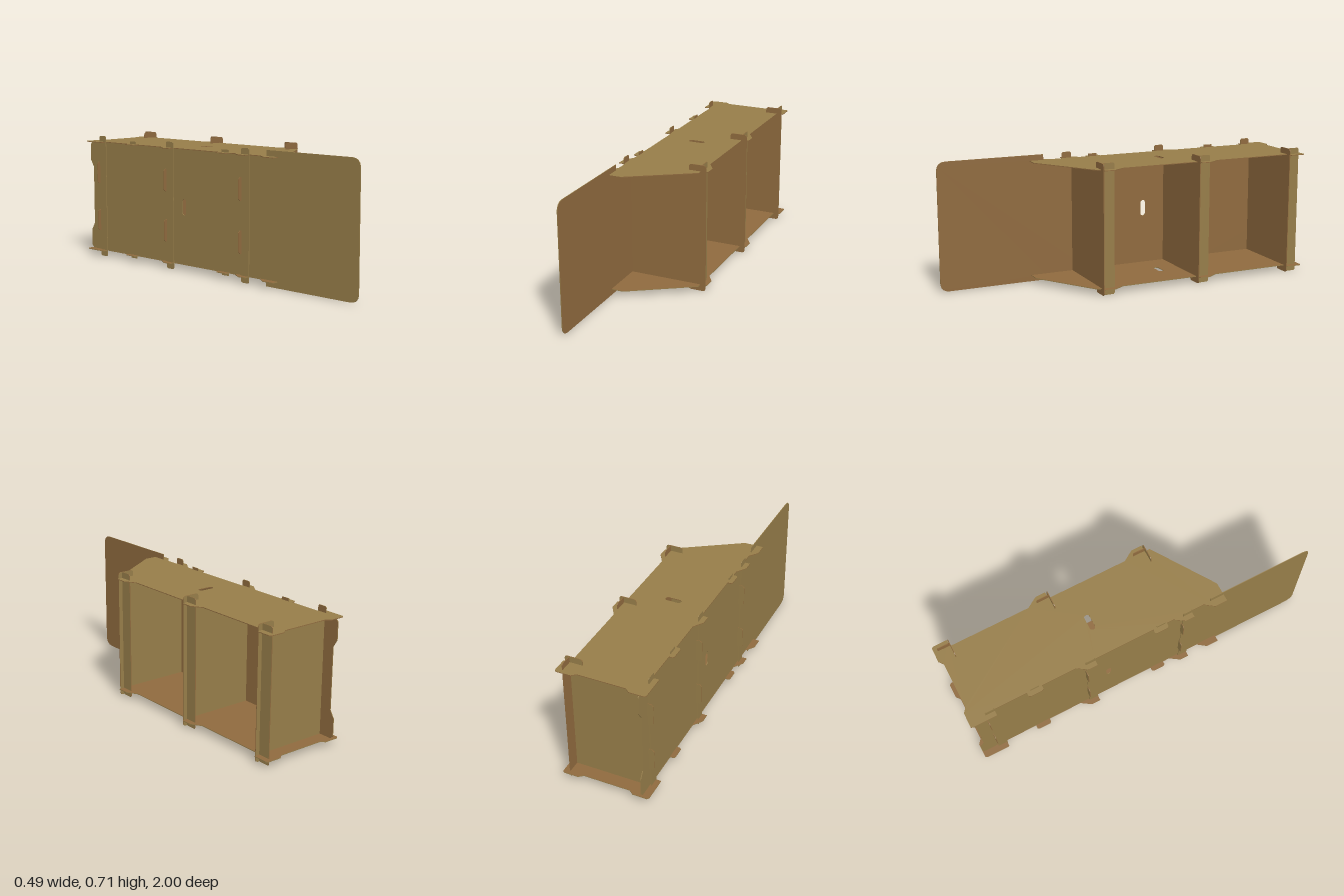
import * as THREE from 'three';

const T = 0.004;      // sheet thickness
const MID = 0.357;    // mid height of the whole box
const STATIONS = [0.233, -0.337, -0.907]; // z of the cross panels

const brown = new THREE.MeshStandardMaterial({ color: 0x8f6a3e });
const olive = new THREE.MeshStandardMaterial({ color: 0x967d49 });

const toShape = (pts) => new THREE.Shape(pts.map(([a, b]) => new THREE.Vector2(a, b)));

// closes an upper half outline by reflecting it about the mid height
const mirrored = (half) => [...half, ...half.map(([a, b]) => [a, 2 * MID - b]).reverse()];

// rounded grip slot, w by h, centred at (cx, cy)
function slot(cx, cy, w, h) {
  const r = Math.min(w, h) / 2, dx = w / 2 - r, dy = h / 2 - r;
  const p = new THREE.Path();
  for (let i = 0; i < 24; i++) {
    const a = ((i + 0.5) / 24) * Math.PI * 2, c = Math.cos(a), s = Math.sin(a);
    const x = cx + Math.sign(c) * dx + c * r, y = cy + Math.sign(s) * dy + s * r;
    if (i) p.lineTo(x, y); else p.moveTo(x, y);
  }
  p.closePath();
  return p;
}

// thin sheet whose two faces have their own colour (first = local -z face)
function sheet(name, shape, first, second) {
  const g = new THREE.ExtrudeGeometry(shape, { depth: T, bevelEnabled: false });
  g.translate(0, 0, -T / 2);
  const lids = g.groups[0].count, total = g.attributes.position.count;
  g.clearGroups();
  g.addGroup(0, lids / 2, 0);
  g.addGroup(lids / 2, total - lids / 2, 1);
  const mesh = new THREE.Mesh(g, [first, second]);
  mesh.name = name;
  return mesh;
}

// outline given as (z, y), first colour faces +x
function sideSheet(name, shape, x, first, second) {
  const m = sheet(name, shape, first, second);
  m.rotation.y = -Math.PI / 2;
  m.position.x = x;
  return m;
}

// outline given as (x, z), first colour faces up
function flatSheet(name, shape, y, first, second) {
  const m = sheet(name, shape, first, second);
  m.rotation.x = Math.PI / 2;
  m.position.y = y;
  return m;
}

export function createModel() {
  const model = new THREE.Group();

  // top and bottom plates with their locking ears
  const plate = toShape([
    [-0.235, -1], [-0.155, -1], [-0.13, -0.98], [0.13, -0.98], [0.155, -1], [0.235, -1],
    [0.243, -0.99], [0.243, -0.91], [0.205, -0.91],
    [0.205, -0.46], [0.243, -0.4], [0.243, -0.345], [0.205, -0.34],
    [0.205, 0.11], [0.243, 0.17], [0.243, 0.23], [0.205, 0.23],
    [0.205, 0.26], [-0.135, 0.48], [-0.243, 0.48], [-0.243, 0.41], [-0.206, 0.36],
    [-0.206, 0.285], [-0.243, 0.285], [-0.243, 0.235], [-0.206, 0.18],
    [-0.206, 0.14], [-0.225, 0.14], [-0.232, 0.13], [-0.232, 0.07], [-0.225, 0.06], [-0.206, 0.06],
    [-0.206, -0.283], [-0.243, -0.283], [-0.243, -0.335], [-0.206, -0.39],
    [-0.206, -0.585], [-0.225, -0.585], [-0.232, -0.595], [-0.232, -0.66], [-0.225, -0.67], [-0.206, -0.67],
    [-0.206, -0.855], [-0.243, -0.855], [-0.243, -0.99],
  ]);
  plate.holes.push(slot(-0.015, -0.213, 0.09, 0.03));
  model.add(flatSheet('topPlate', plate, 0.678, olive, brown));
  model.add(flatSheet('bottomPlate', plate, 0.036, brown, olive));

  // long side wall running out to the front as a rounded panel
  const wall = toShape(mirrored([
    [1, 0.665], [0.996, 0.685], [0.985, 0.7], [0.97, 0.708], [0.95, 0.711],
    [0.4, 0.711], [0.4, 0.68], [0.132, 0.68], [0.132, 0.695], [0.083, 0.695], [0.083, 0.68],
    [-0.6, 0.68], [-0.6, 0.695], [-0.65, 0.695], [-0.65, 0.68],
    [-0.98, 0.68], [-1, 0.66], [-1, 0.565], [-0.975, 0.525],
  ]));
  wall.holes.push(slot(-0.205, MID, 0.03, 0.09));
  model.add(sideSheet('sideWall', wall, -0.203, brown, olive));

  // cross panels, each with a front post and a rear locking strip
  const divider = toShape(mirrored([
    [0.235, 0.7], [0.231, 0.709], [0.222, 0.713], [0.15, 0.713], [0.141, 0.709], [0.138, 0.7],
    [0.138, 0.678], [-0.201, 0.678], [-0.201, 0.561], [-0.225, 0.561], [-0.235, 0.55],
    [-0.235, 0.446], [-0.225, 0.436], [-0.201, 0.436],
  ]));
  const strip = (z0, z1) => toShape(mirrored([
    [z1, 0.706], [z1 - 0.007, 0.713], [z0 + 0.007, 0.713], [z0, 0.706],
  ]));
  for (const z of STATIONS) {
    const panel = sheet('divider', divider, olive, brown);
    panel.position.z = z;
    model.add(panel);
    model.add(sideSheet('post', strip(z - 0.071, z), 0.21, olive, brown));
    model.add(sideSheet('lockingStrip', strip(z, z + 0.055), -0.213, brown, olive));
  }
  return model;
}
